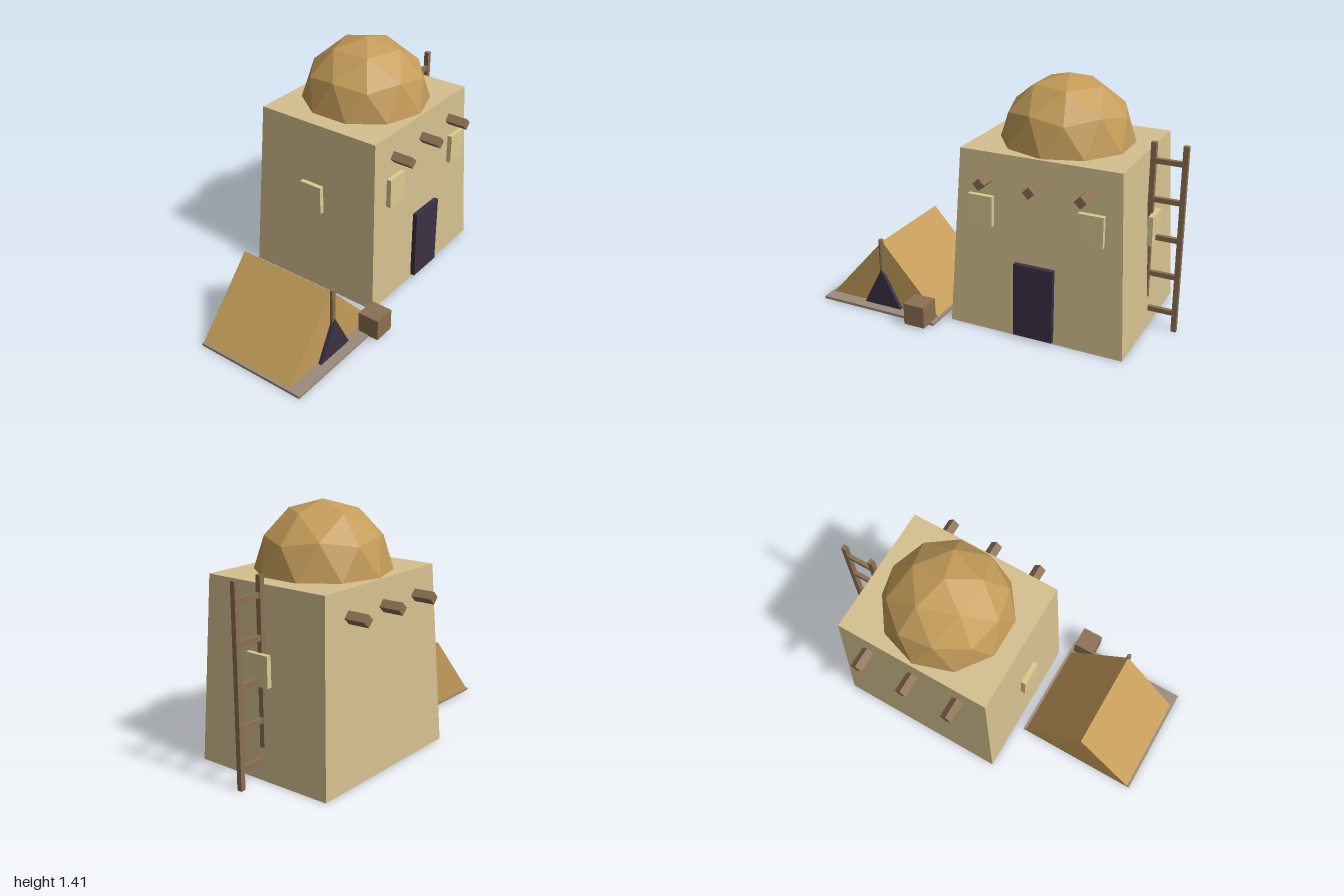
import * as THREE from 'three';

const mat = (color) => new THREE.MeshStandardMaterial({ color, flatShading: true });

export function createModel() {
  const root = new THREE.Group();
  const wall = mat(0xd4c08f), cloth = mat(0xc49c59), wood = mat(0x8b7052);
  const dark = mat(0x3b3044), ground = mat(0x9c8a7a), pane = mat(0xdcca92);

  const add = (parent, name, geometry, material, x, y, z) => {
    const mesh = new THREE.Mesh(geometry, material);
    mesh.name = name;
    mesh.position.set(x, y, z);
    parent.add(mesh);
    return mesh;
  };
  const box = (parent, name, material, w, h, d, x, y, z) =>
    add(parent, name, new THREE.BoxGeometry(w, h, d), material, x, y, z);
  const group = (name, x, z) => {
    const g = new THREE.Group();
    g.name = name;
    g.position.set(x, 0, z);
    root.add(g);
    return g;
  };
  // Triangular prism standing on y = 0, extruded toward +z
  const prism = (halfWidth, height, depth) => {
    const s = new THREE.Shape();
    s.moveTo(-halfWidth, 0);
    s.lineTo(halfWidth, 0);
    s.lineTo(0, height);
    s.closePath();
    return new THREE.ExtrudeGeometry(s, { depth, bevelEnabled: false });
  };

  // House: walls leaning inward toward the roof
  const house = group('house', 0.32, -0.047);
  const H = 1.035;
  const walls = new THREE.BoxGeometry(1.03, H, 0.862);
  const p = walls.attributes.position;
  for (let i = 0; i < p.count; i++) {
    if (p.getY(i) > 0) {
      p.setX(i, Math.sign(p.getX(i)) * 0.46);
      p.setZ(i, Math.sign(p.getZ(i)) * 0.389);
    }
  }
  walls.computeVertexNormals();
  add(house, 'walls', walls, wall, 0, H / 2, 0);

  // Faceted dome, turned so that one corner points straight up
  const dome = new THREE.IcosahedronGeometry(0.373, 1);
  dome.rotateZ(-Math.atan(2 / (1 + Math.sqrt(5))));
  add(house, 'dome', dome, cloth, 0, H, 0);

  // Roof beams running through the house, set on edge
  for (const x of [-0.286, 0, 0.286]) {
    box(house, 'roofBeam', wood, 0.049, 0.049, 1.034, x, 0.894, 0).rotation.z = Math.PI / 4;
  }

  // Windows and door
  for (const s of [-1, 1]) {
    box(house, 'frontWindow', pane, 0.143, 0.172, 0.028, s * 0.316, 0.72, 0.434);
    box(house, 'sideWindow', pane, 0.028, 0.17, 0.143, s * 0.516, 0.605, 0);
  }
  box(house, 'door', dark, 0.229, 0.43, 0.028, 0.002, 0.232, 0.441);

  // Ladder
  const ladder = group('ladder', 0.898, -0.047);
  for (const s of [-1, 1]) box(ladder, 'ladderRail', wood, 0.029, 1.09, 0.029, s * 0.087, 0.545, 0);
  for (let i = 0; i < 5; i++) {
    box(ladder, 'ladderRung', wood, 0.172, 0.028, 0.023, 0, 0.112 + i * 0.219, 0);
  }

  // Tent on its mat
  const tent = group('tent', -0.625, 0);
  box(tent, 'groundMat', ground, 0.75, 0.015, 0.68, 0, 0.0075, 0.16);
  add(tent, 'tentCloth', prism(0.36, 0.402, 0.6), cloth, 0, 0.014, -0.18);
  add(tent, 'tentOpening', prism(0.122, 0.231, 0.021), dark, 0, 0.015, 0.424);
  add(tent, 'tentPole', new THREE.CylinderGeometry(0.015, 0.015, 0.43, 6), wood, 0, 0.217, 0.428);

  // Crate beside the tent
  box(root, 'crate', wood, 0.129, 0.128, 0.129, -0.337, 0.074, 0.5);

  return root;
}
